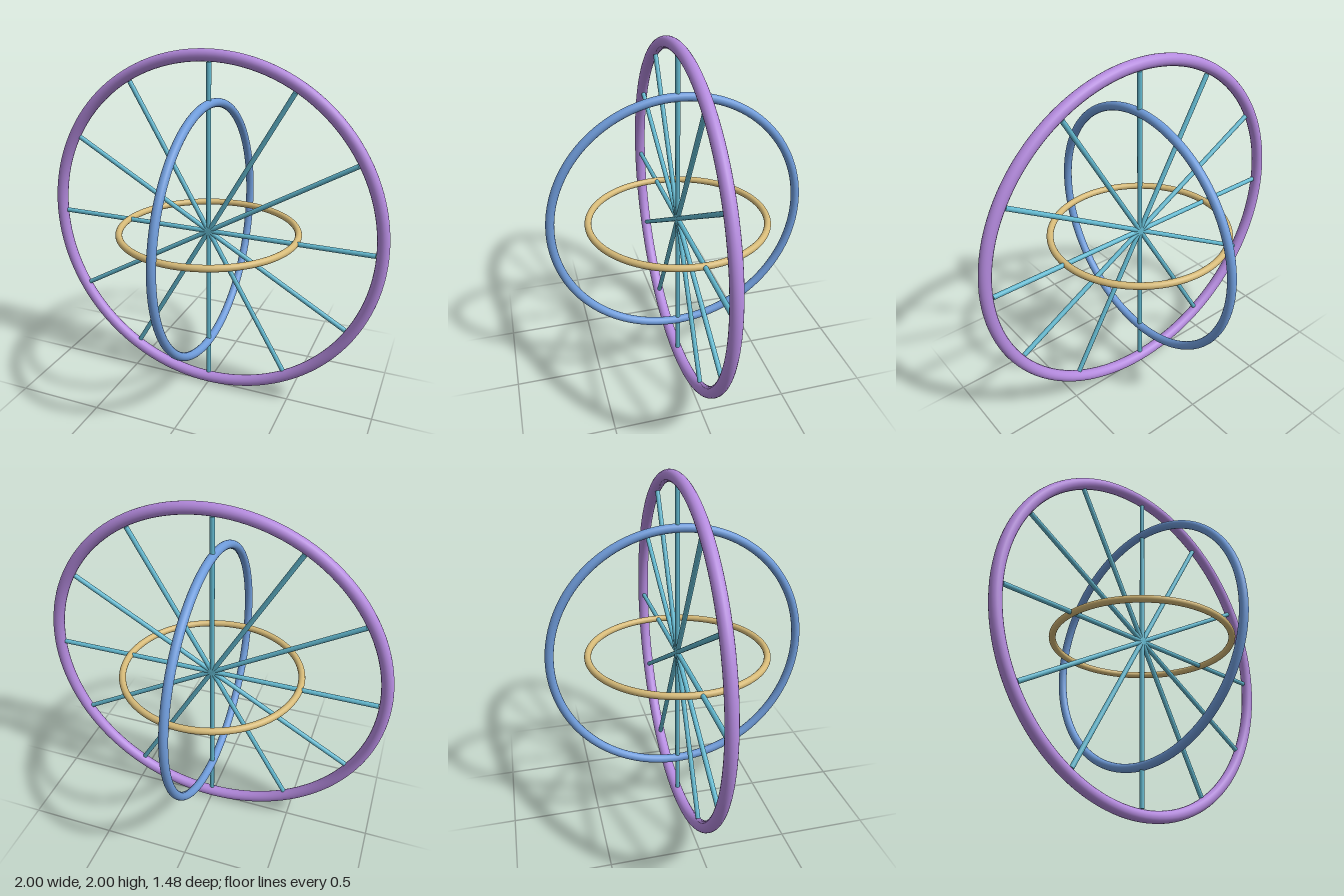
import * as THREE from 'three';

const material = (name, color) => {
  const m = new THREE.MeshStandardMaterial({ color });
  m.name = name;
  return m;
};

export function createModel() {
  const group = new THREE.Group();
  group.name = 'ringedWheel';
  const purple = material('purple', 0xb48ade);
  const blue = material('blue', 0x6f9cdb);
  const gold = material('gold', 0xd6ba78);
  const cyan = material('cyan', 0x62b8cf);

  // Three nested rings at right angles, sharing one centre
  const addRing = (name, radius, tube, mat, rx, ry) => {
    const ring = new THREE.Mesh(new THREE.TorusGeometry(radius, tube, 20, 128), mat);
    ring.name = name;
    ring.rotation.set(rx, ry, 0);
    ring.position.y = 1;
    group.add(ring);
  };
  addRing('outerRing', 0.967, 0.033, purple, 0, 0);
  addRing('middleRing', 0.714, 0.024, blue, 0, Math.PI / 2);
  addRing('innerRing', 0.504, 0.019, gold, Math.PI / 2, 0);

  // Twelve spokes from the centre to the outer ring
  const length = 0.932;
  const spokeGeometry = new THREE.CylinderGeometry(0.0135, 0.0135, length, 16);
  spokeGeometry.translate(0, length / 2, 0);
  for (let i = 0; i < 12; i++) {
    const spoke = new THREE.Mesh(spokeGeometry, cyan);
    spoke.name = `spoke${i + 1}`;
    spoke.position.y = 1;
    spoke.rotation.z = (i * Math.PI) / 6;
    group.add(spoke);
  }
  return group;
}
